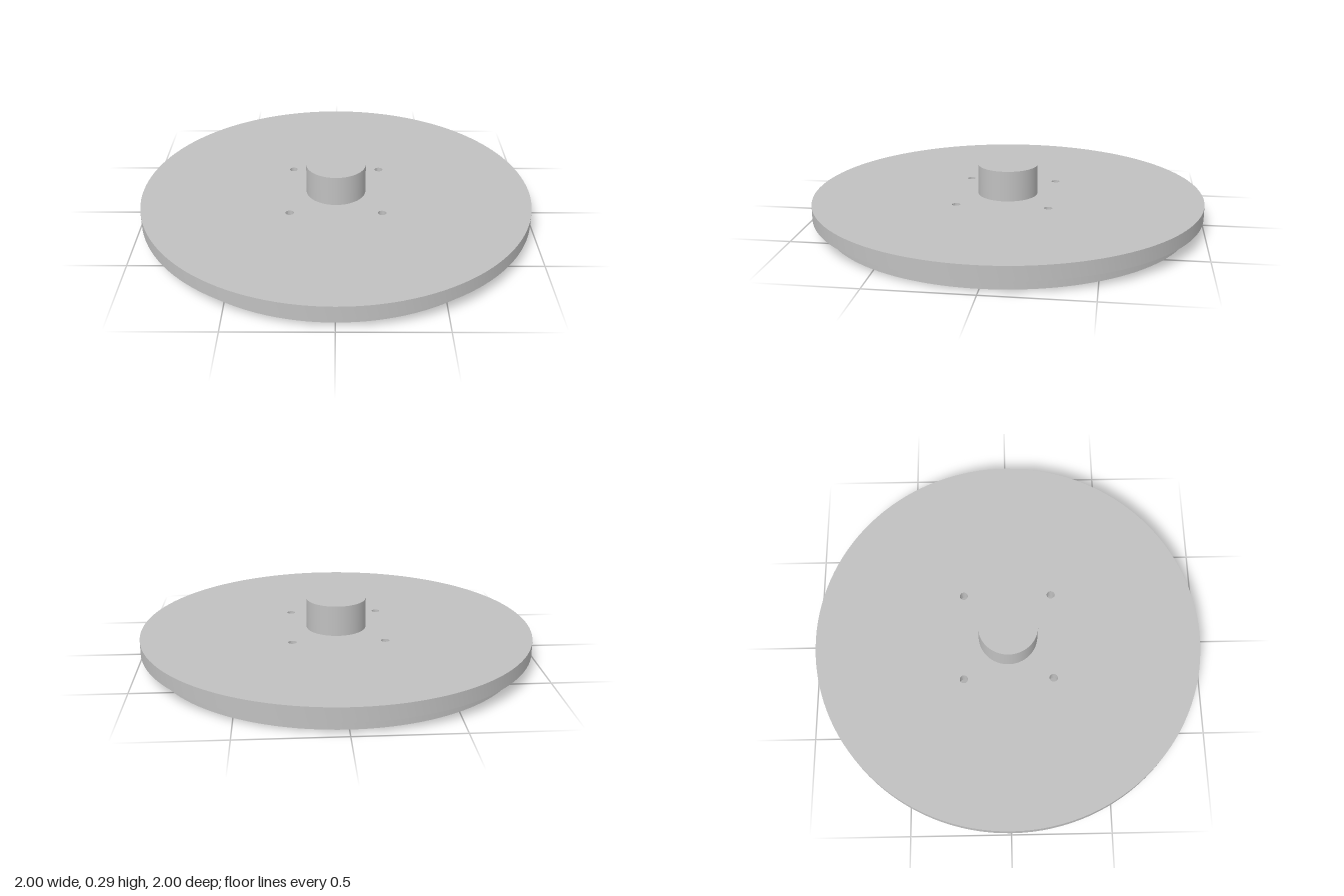
import * as THREE from 'three';
import { toCreasedNormals } from 'three/addons/utils/BufferGeometryUtils.js';

// Flat round plate lying on y = bottom, with round holes given as [x, z, radius]
function roundPlate(radius, bottom, top, holes) {
  const shape = new THREE.Shape().absarc(0, 0, radius, 0, Math.PI * 2);
  for (const [x, z, r] of holes) {
    shape.holes.push(new THREE.Path().absarc(x, -z, r, 0, Math.PI * 2, true));
  }
  const geometry = new THREE.ExtrudeGeometry(shape, {
    depth: top - bottom, bevelEnabled: false, curveSegments: 64,
  });
  geometry.rotateX(-Math.PI / 2);
  geometry.translate(0, bottom, 0);
  return toCreasedNormals(geometry, Math.PI / 6);
}

export function createModel() {
  const group = new THREE.Group();
  group.name = 'flangedLid';
  const grey = new THREE.MeshStandardMaterial({ color: 0xc0c0c0 });
  grey.name = 'plainGrey';

  const add = (name, geometry) => {
    const mesh = new THREE.Mesh(geometry, grey);
    mesh.name = name;
    group.add(mesh);
    return mesh;
  };

  const lipTop = 0.065, discTop = 0.135, hubTop = 0.29;

  // Wide disc with four through holes around the hub
  const boltHoles = [];
  for (const x of [-0.23, 0.23]) {
    for (const z of [-0.23, 0.23]) boltHoles.push([x, z, 0.021]);
  }
  add('disc', roundPlate(1, lipTop, discTop, boltHoles));

  // Locating lip below the disc, open in the middle
  add('lip', roundPlate(0.934, 0, lipTop, [[0, 0, 0.874]]));

  // Solid hub on top
  const hub = add('hub', new THREE.CylinderGeometry(0.153, 0.153, hubTop - discTop, 64));
  hub.position.y = (hubTop + discTop) / 2;

  return group;
}
